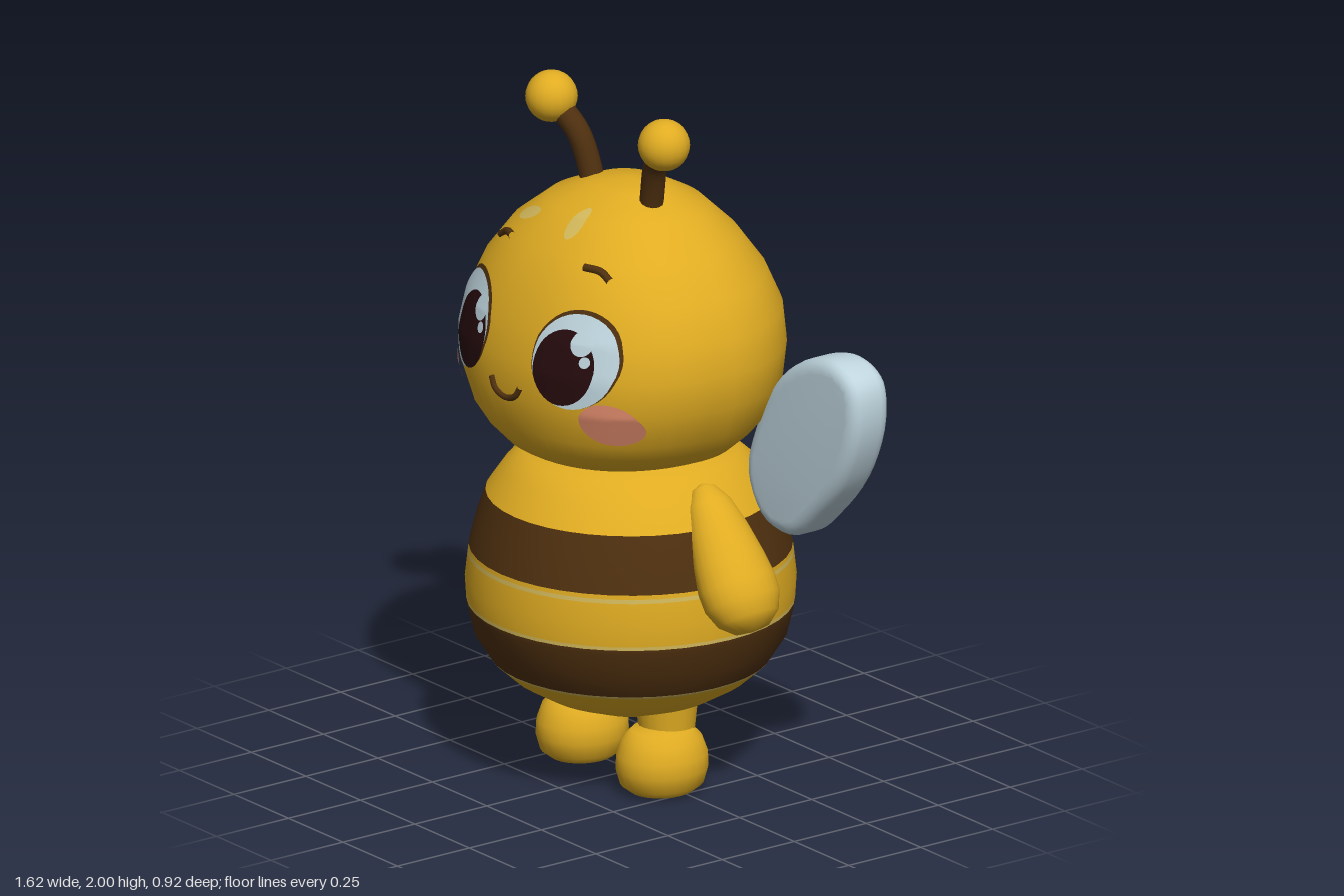
import * as THREE from 'three';
import { mergeVertices, toCreasedNormals } from 'three/addons/utils/BufferGeometryUtils.js';

const mat = (name, color) => {
  const m = new THREE.MeshStandardMaterial({ color });
  m.name = name;
  return m;
};
const V2 = (x, y) => new THREE.Vector2(x, y);
const V3 = (x, y, z) => new THREE.Vector3(x, y, z);

// Linear lookup in rows of [y, a, b, ...]
function sample(rows, y) {
  let i = 1;
  while (i < rows.length - 1 && rows[i][0] < y) i++;
  const p = rows[i - 1], q = rows[i];
  const t = THREE.MathUtils.clamp((y - p[0]) / (q[0] - p[0]), 0, 1);
  return p.map((v, k) => v + (q[k] - v) * t);
}

// Body profile: [y, radius]
const BODY = [[0.19, 0], [0.2, 0.12], [0.25, 0.25], [0.3, 0.335], [0.35, 0.39], [0.42, 0.435], [0.5, 0.455],
  [0.58, 0.46], [0.67, 0.45], [0.75, 0.43], [0.83, 0.403], [0.9, 0.355], [0.95, 0.3], [0.98, 0.2]];

// Head profile: [y, half width, depth to front, depth to back]
const HEAD = [[0.945, 0, 0, 0], [0.955, 0.2, 0.18, 0.15], [1.0, 0.325, 0.34, 0.27], [1.05, 0.385, 0.385, 0.315],
  [1.1, 0.43, 0.412, 0.35], [1.2, 0.475, 0.435, 0.388], [1.3, 0.485, 0.43, 0.4], [1.4, 0.468, 0.405, 0.393],
  [1.5, 0.422, 0.362, 0.35], [1.6, 0.343, 0.3, 0.278], [1.68, 0.243, 0.205, 0.195], [1.73, 0.12, 0.1, 0.1], [1.745, 0, 0, 0]];
const FULL = 2.3; // roundness of the face

function faceZ(x, y) {
  const [, rx, zf] = sample(HEAD, y);
  const u = Math.min(Math.abs(x) / rx, 1);
  return zf * Math.pow(1 - Math.pow(u, FULL), 1 / FULL);
}

function headGeometry() {
  const g = new THREE.LatheGeometry(HEAD.map(([y, r]) => V2(r, y)), 48);
  const p = g.attributes.position;
  for (let i = 0; i < p.count; i++) {
    const [, rx, zf, zb] = HEAD[i % HEAD.length];
    const a = Math.floor(i / HEAD.length) / 48 * Math.PI * 2;
    const s = Math.sin(a), c = Math.cos(a), e = c > 0 ? 2 / FULL : 1;
    p.setX(i, rx * Math.sign(s) * Math.pow(Math.abs(s), e));
    p.setZ(i, c > 0 ? zf * Math.pow(c, e) : zb * c);
  }
  g.deleteAttribute('normal');
  g.deleteAttribute('uv');
  const merged = mergeVertices(g, 1e-5);
  merged.computeVertexNormals();
  return merged;
}

// Oval skin lying on the face
function decalGeometry(cx, cy, rx, ry, lift, turn = 0) {
  const g = new THREE.RingGeometry(0, 1, 36, 6);
  g.scale(rx, ry, 1).rotateZ(turn).translate(cx, cy, 0);
  const p = g.attributes.position;
  for (let i = 0; i < p.count; i++) p.setZ(i, faceZ(p.getX(i), p.getY(i)) + lift);
  g.computeVertexNormals();
  return g;
}

// Thin line following the face
function faceLine(points, radius) {
  const path = new THREE.CatmullRomCurve3(points.map(([x, y]) => V3(x, y, faceZ(x, y) + 0.002)));
  return new THREE.TubeGeometry(path, 16, radius, 8);
}

export function createModel() {
  const yellow = mat('honeyYellow', 0xe0ac22);
  const brown = mat('stripeBrown', 0x4f300f);
  const pupilDark = mat('pupilDark', 0x260b0d);
  const pale = mat('paleBlue', 0xbfd5de);
  const pink = mat('cheekPink', 0xdc886a);
  const shine = mat('paleHoney', 0xd4ba5c);

  const model = new THREE.Group();
  model.name = 'bee';
  const add = (name, geometry, material) => {
    const m = new THREE.Mesh(geometry, material);
    m.name = name;
    model.add(m);
    return m;
  };

  // Striped body, cut into bands
  const bands = [[0.19, 0.345, yellow], [0.345, 0.353, shine], [0.353, 0.512, brown], [0.512, 0.522, shine],
    [0.522, 0.648, yellow], [0.648, 0.66, shine], [0.66, 0.672, yellow], [0.672, 0.83, brown], [0.83, 0.98, yellow]];
  for (const [y0, y1, m] of bands) {
    const ys = [y0, ...BODY.map(r => r[0]).filter(y => y > y0 + 0.002 && y < y1 - 0.002), y1];
    add('bodyBand', new THREE.LatheGeometry(ys.map(y => V2(sample(BODY, y)[1], y)), 40), m);
  }

  add('head', headGeometry(), yellow);
  add('headShine', decalGeometry(-0.17, 1.64, 0.05, 0.014, 0.004, 0.3), shine);
  add('headShine', decalGeometry(0.045, 1.665, 0.025, 0.035, 0.004, 0.4), shine);

  // Mouth
  add('mouth', faceLine([[-0.065, 1.235], [-0.045, 1.205], [0, 1.19], [0.045, 1.205], [0.065, 1.235]], 0.009), brown);

  // Wing outline and rounded limb profiles
  const wingPoints = [[0.3, 0.93], [0.37, 0.81], [0.5, 0.79], [0.62, 0.88], [0.74, 1.02], [0.805, 1.19],
    [0.79, 1.31], [0.7, 1.355], [0.57, 1.33], [0.44, 1.24], [0.34, 1.08]];
  const armProfile = [[0, 0], [0.045, 0.008], [0.078, 0.04], [0.096, 0.09], [0.098, 0.14], [0.09, 0.21],
    [0.075, 0.3], [0.055, 0.38], [0.03, 0.425], [0, 0.44]].map(p => V2(...p));
  const footProfile = [[0, 0], [0.085, 0.004], [0.11, 0.025], [0.122, 0.07], [0.12, 0.11], [0.105, 0.155],
    [0.08, 0.182], [0, 0.195]].map(p => V2(...p));

  for (const s of [1, -1]) {
    const side = s > 0 ? 'left' : 'right';

    // Eye, layered outward; the glints sit on the same side in both eyes
    const px = s > 0 ? 0.212 : -0.2;
    add(side + 'EyeOutline', decalGeometry(s * 0.232, 1.35, 0.131, 0.137, 0.004), brown);
    add(side + 'EyeWhite', decalGeometry(s * 0.233, 1.345, 0.125, 0.132, 0.008), pale);
    add(side + 'Pupil', decalGeometry(px, 1.327, 0.094, 0.106, 0.012), pupilDark);
    add(side + 'Glint', decalGeometry(px + 0.05, 1.405, 0.032, 0.036, 0.016), pale);
    add(side + 'SmallGlint', decalGeometry(px + 0.068, 1.355, 0.015, 0.016, 0.016), pale);
    add(side + 'Cheek', decalGeometry(s * 0.336, 1.177, 0.067, 0.064, 0.012), pink);
    add(side + 'Brow', faceLine([[s * 0.25, 1.562], [s * 0.215, 1.582], [s * 0.165, 1.586]], 0.011), brown);

    // Antenna
    const stalk = new THREE.CatmullRomCurve3([V3(s * 0.13, 1.68, 0.03), V3(s * 0.145, 1.75, 0.035),
      V3(s * 0.178, 1.84, 0.05), V3(s * 0.25, 1.92, 0.078)]);
    add(side + 'AntennaStalk', new THREE.TubeGeometry(stalk, 14, 0.034, 12), brown);
    add(side + 'AntennaBall', new THREE.SphereGeometry(0.073, 20, 14), yellow).position.set(s * 0.258, 1.927, 0.08);

    // Wing
    const outline = new THREE.CatmullRomCurve3(wingPoints.map(([x, y]) => V3(s * x, y, 0)), true);
    const shape = new THREE.Shape(outline.getPoints(48).slice(0, -1).map(p => V2(p.x, p.y)));
    const wing = new THREE.ExtrudeGeometry(shape, { depth: 0.06, bevelEnabled: true, bevelThickness: 0.037,
      bevelSize: 0.04, bevelOffset: -0.04, bevelSegments: 4 });
    add(side + 'Wing', toCreasedNormals(wing, 0.8), pale).position.z = -0.26;

    // Arm
    const arm = add(side + 'Arm', new THREE.LatheGeometry(armProfile, 24), yellow);
    arm.position.set(s * 0.562, 0.565, 0);
    arm.rotation.z = s * 0.57;
    arm.scale.z = 1.18;

    // Leg and foot
    add(side + 'Ankle', new THREE.CylinderGeometry(0.088, 0.075, 0.13, 20), yellow).position.set(s * 0.165, 0.2, 0);
    const foot = add(side + 'Foot', new THREE.LatheGeometry(footProfile, 24), yellow);
    foot.position.set(s * 0.183, 0.003, 0.03);
    foot.scale.z = 1.1;
  }
  return model;
}
